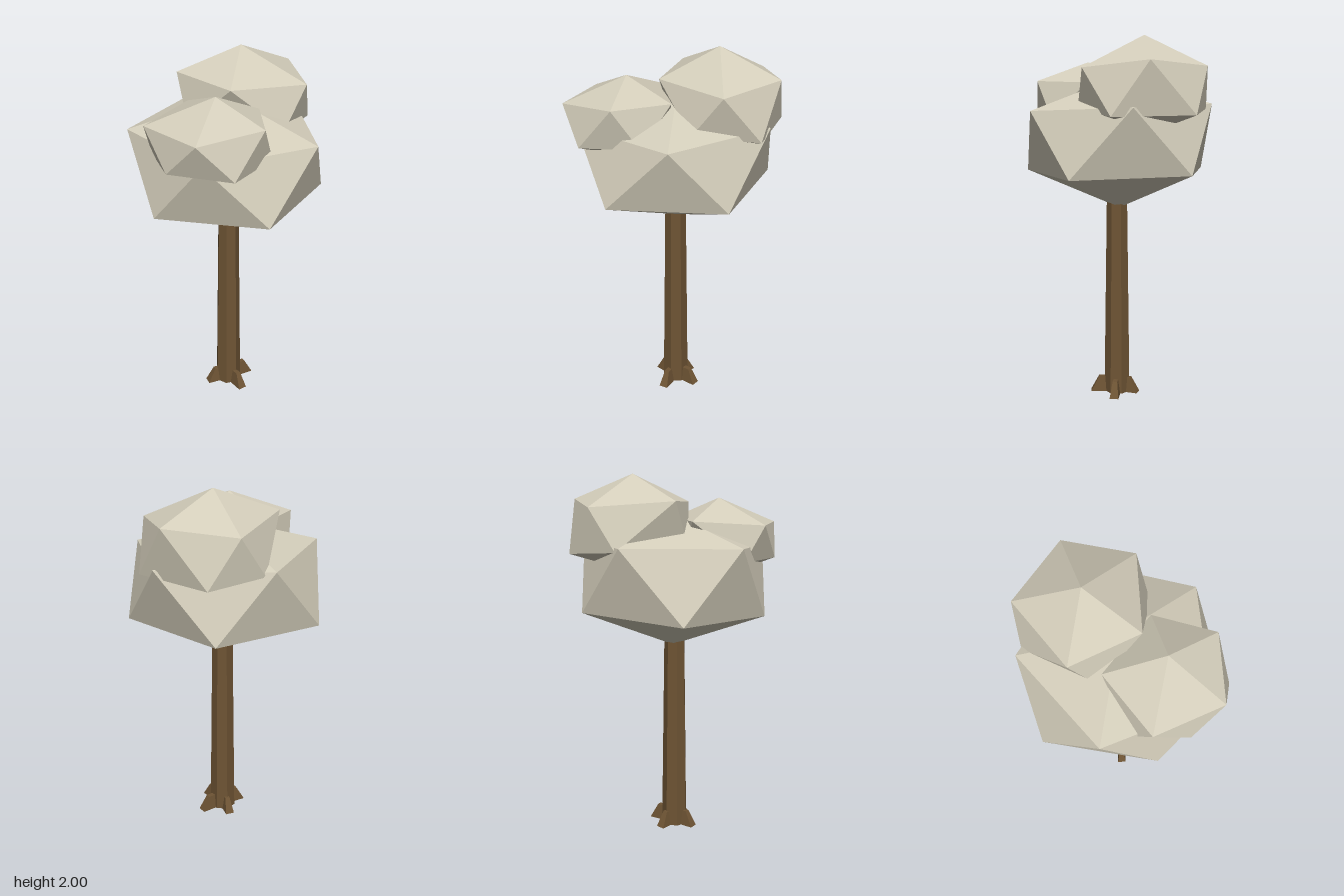
import * as THREE from 'three';

// Twelve-cornered faceted clump: a tip, an upper ring, a lower ring and a base.
// lower[i] sits between upper[i] and upper[i + 1], anticlockwise from above.
function clump(tip, upper, lower, base) {
  const pos = [];
  const tri = (...corners) => corners.forEach((c) => pos.push(...c));
  for (let i = 0; i < 5; i++) {
    const j = (i + 1) % 5;
    tri(tip, upper[i], upper[j]);
    tri(upper[i], lower[i], upper[j]);
    tri(lower[i], lower[j], upper[j]);
    tri(base, lower[j], lower[i]);
  }
  const g = new THREE.BufferGeometry();
  g.setAttribute('position', new THREE.Float32BufferAttribute(pos, 3));
  g.computeVertexNormals();
  return g;
}

// Wedge running out along +z from the trunk, narrower and shorter at the top
function rootGeometry(length) {
  const g = new THREE.BoxGeometry(1, 0.085, 1).toNonIndexed();
  const p = g.attributes.position;
  for (let i = 0; i < p.count; i++) {
    const top = p.getY(i) > 0;
    const outer = p.getZ(i) > 0;
    const width = top ? 0.026 : 0.05;
    p.setXYZ(i, p.getX(i) * width, top ? 0.085 : 0, outer ? (top ? length - 0.045 : length) : 0.02);
  }
  g.computeVertexNormals();
  return g;
}

export function createModel() {
  const model = new THREE.Group();
  const foliage = new THREE.MeshStandardMaterial({ color: 0xd3cdba });
  foliage.name = 'pale foliage';
  const bark = new THREE.MeshStandardMaterial({ color: 0x6e5434 });
  bark.name = 'brown bark';
  foliage.flatShading = bark.flatShading = true;

  const add = (name, geometry, material) => {
    const mesh = new THREE.Mesh(geometry, material);
    mesh.name = name;
    model.add(mesh);
    return mesh;
  };

  // Seven-sided tapering trunk
  add('trunk', new THREE.CylinderGeometry(0.057, 0.074, 1.2, 7), bark).position.set(-0.008, 0.6, 0.012);

  // Roots flaring from the foot of the trunk, given by their outer ends
  [[-0.025, 0.16], [0.138, 0.05], [0.05, -0.1], [-0.133, -0.035]].forEach(([x, z], i) => {
    const dx = x + 0.008, dz = z - 0.012;
    const root = add(`root${i + 1}`, rootGeometry(Math.hypot(dx, dz)), bark);
    root.position.set(-0.008, 0, 0.012);
    root.rotation.y = Math.atan2(dx, dz);
  });

  // Broad main crown
  add('mainCrown', clump(
    [0, 1.79, 0],
    [[0.16, 1.61, 0.49], [0.51, 1.635, 0], [0.15, 1.645, -0.48], [-0.44, 1.64, -0.285], [-0.44, 1.61, 0.3]],
    [[0.41, 1.27, 0.31], [0.41, 1.285, -0.32], [-0.19, 1.27, -0.505], [-0.51, 1.255, 0], [-0.18, 1.27, 0.5]],
    [0, 1.07, 0]), foliage);

  // Taller lobe at the left rear
  add('upperLeftCrown', clump(
    [0.19, 2, -0.105],
    [[0.34, 1.83, 0.235], [0.53, 1.865, -0.08], [0.33, 1.84, -0.41], [-0.095, 1.87, -0.295], [-0.065, 1.85, 0.09]],
    [[0.5, 1.59, 0.11], [0.47, 1.595, -0.325], [0.18, 1.62, -0.44], [-0.13, 1.62, -0.17], [0.175, 1.62, 0.243]],
    [0.19, 1.48, -0.1]), foliage);

  // Smaller lobe at the right front
  add('upperRightCrown', clump(
    [-0.22, 1.87, 0.15],
    [[-0.165, 1.765, 0.44], [0.045, 1.757, 0.185], [-0.145, 1.76, -0.15], [-0.51, 1.74, -0.05], [-0.5, 1.735, 0.325]],
    [[-0.04, 1.56, 0.37], [-0.06, 1.56, 0], [-0.415, 1.55, -0.115], [-0.535, 1.555, 0.145], [-0.355, 1.55, 0.435]],
    [-0.23, 1.44, 0.15]), foliage);

  return model;
}
